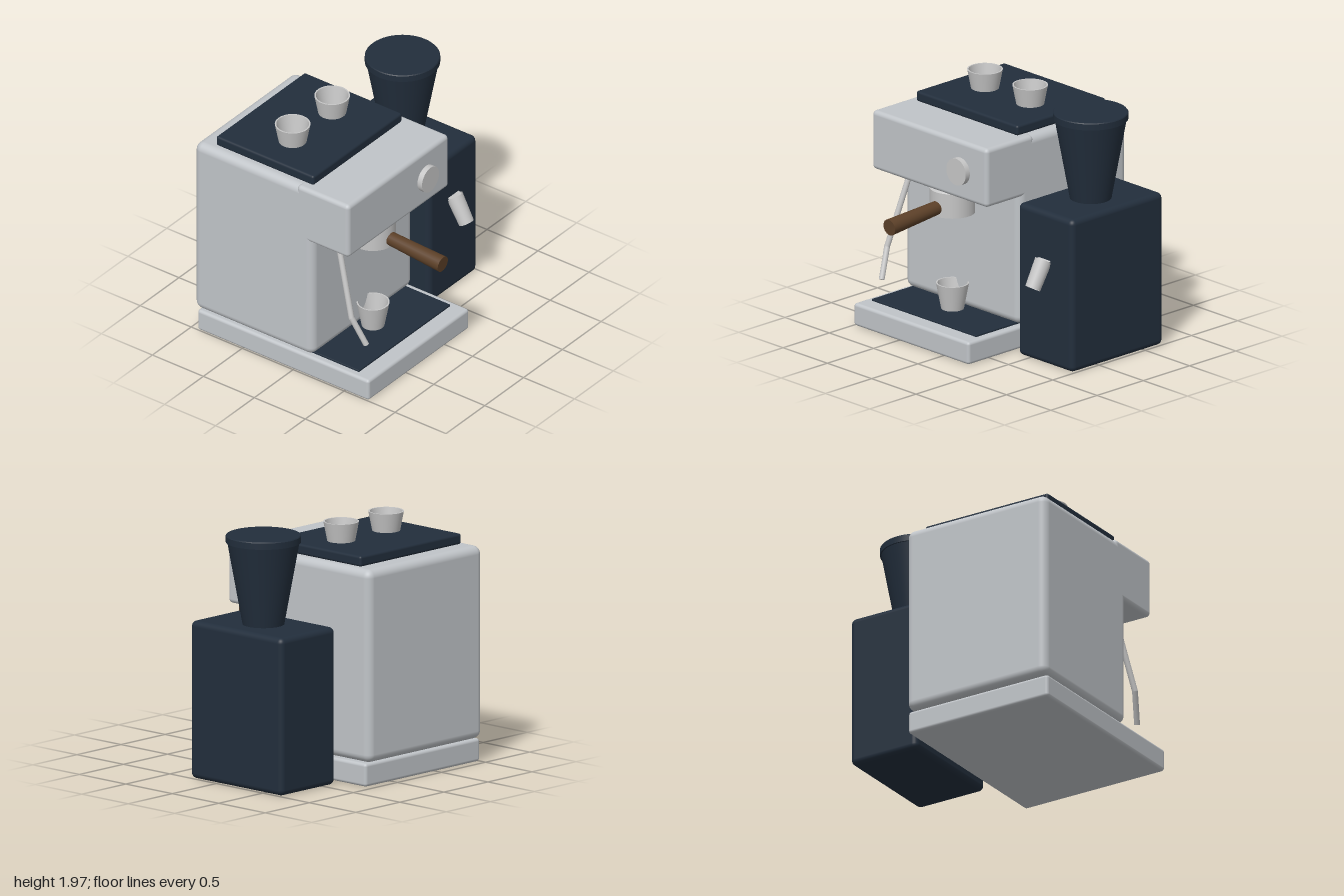
import * as THREE from 'three';
import { RoundedBoxGeometry } from 'three/addons/geometries/RoundedBoxGeometry.js';

const mat = (name, color, side = THREE.FrontSide) => {
  const m = new THREE.MeshStandardMaterial({ color, side });
  m.name = name;
  return m;
};

export function createModel() {
  const group = new THREE.Group();
  group.name = 'espressoMachineAndGrinder';
  const shell = mat('silverGrey', 0xc0c4c8);
  const dark = mat('darkNavy', 0x222e3c);
  const metal = mat('polishedSteel', 0xc6c6c6, THREE.DoubleSide);
  const wood = mat('walnut', 0x5c4028);

  const add = (name, geo, material, x = 0, y = 0, z = 0) => {
    const m = new THREE.Mesh(geo, material);
    m.name = name;
    m.position.set(x, y, z);
    group.add(m);
    return m;
  };
  // Rounded box given by its min and max corners
  const box = (name, material, [x0, y0, z0], [x1, y1, z1], r) =>
    add(name, new RoundedBoxGeometry(x1 - x0, y1 - y0, z1 - z0, 4, r), material,
      (x0 + x1) / 2, (y0 + y1) / 2, (z0 + z1) / 2);
  // Tapered rod from point a (radius ra) to point b (radius rb)
  const rod = (name, material, a, b, ra, rb, open = false) => {
    const A = new THREE.Vector3(...a), B = new THREE.Vector3(...b);
    const d = B.clone().sub(A);
    const m = add(name, new THREE.CylinderGeometry(rb, ra, d.length(), 24, 1, open), material);
    m.position.copy(A).add(B).multiplyScalar(0.5);
    m.quaternion.setFromUnitVectors(new THREE.Vector3(0, 1, 0), d.normalize());
    return m;
  };

  // Machine housing
  box('base', shell, [-1, 0, -0.943], [0.3, 0.185, 0.74], 0.025);
  box('body', shell, [-1, 0.19, -0.978], [0.3, 1.732, 0.19], 0.065);
  box('head', shell, [-1, 1.25, 0.03], [0.3, 1.735, 0.543], 0.035);
  box('dripTray', dark, [-0.94, 0.17, 0.1], [0.24, 0.2, 0.6], 0.006);
  box('cupShelf', dark, [-0.922, 1.73, -0.818], [0.225, 1.815, 0.14], 0.02);

  // Control knob
  add('knob', new THREE.CylinderGeometry(0.11, 0.11, 0.06, 40), metal, 0, 1.488, 0.558)
    .rotation.x = Math.PI / 2;

  // Brew head with a chamfered top, and its handle
  add('brewHead', new THREE.CylinderGeometry(0.18, 0.18, 0.2, 48), metal, -0.35, 1.102, 0.29);
  add('brewHeadChamfer', new THREE.CylinderGeometry(0.15, 0.18, 0.026, 48), metal, -0.35, 1.215, 0.29);
  rod('filterHandle', wood, [-0.35, 1.075, 0.42], [-0.35, 1.033, 0.974], 0.054, 0.066);

  // Steam wand
  const wand = [[-0.805, 1.28, 0.28], [-0.885, 0.62, 0.485], [-0.835, 0.385, 0.592]];
  rod('steamWandUpper', metal, wand[0], wand[1], 0.023, 0.023);
  rod('steamWandLower', metal, wand[1], wand[2], 0.023, 0.023);
  add('steamWandElbow', new THREE.SphereGeometry(0.023, 16, 12), metal, ...wand[1]);

  // Open tapered cups
  const cup = (name, x, y, z, r0, r1, h) => {
    const profile = [[r0, 0], [r1, h], [r1 - 0.012, h], [r0 - 0.012, 0]];
    for (let i = 0; i < 3; i++) {
      const pts = [profile[i], profile[i + 1]].map(p => new THREE.Vector2(...p));
      add(name, new THREE.LatheGeometry(pts, 40), metal, x, y, z);
    }
  };
  cup('brewCup', -0.35, 0.2, 0.29, 0.09, 0.13, 0.212);
  for (const x of [-0.605, -0.095]) cup('shelfCup', x, 1.814, -0.305, 0.11, 0.14, 0.156);

  // Grinder with hopper, lid and outlet
  box('grinderBody', dark, [0.38, 0, -0.7], [1, 1.26, 0.288], 0.045);
  add('hopper', new THREE.CylinderGeometry(0.284, 0.162, 0.67, 48), dark, 0.687, 1.585, -0.21);
  add('hopperLid', new THREE.CylinderGeometry(0.295, 0.295, 0.05, 48), dark, 0.687, 1.941, -0.21);
  add('hopperLidEdge', new THREE.CylinderGeometry(0.289, 0.295, 0.007, 48), dark, 0.687, 1.9695, -0.21);
  rod('grinderOutlet', metal, [0.687, 0.863, 0.3], [0.687, 0.657, 0.417], 0.069, 0.062, true);
  add('outletCap', new THREE.CircleGeometry(0.069, 24), metal, 0.687, 0.863, 0.3)
    .rotation.x = -Math.PI / 3;

  return group;
}
